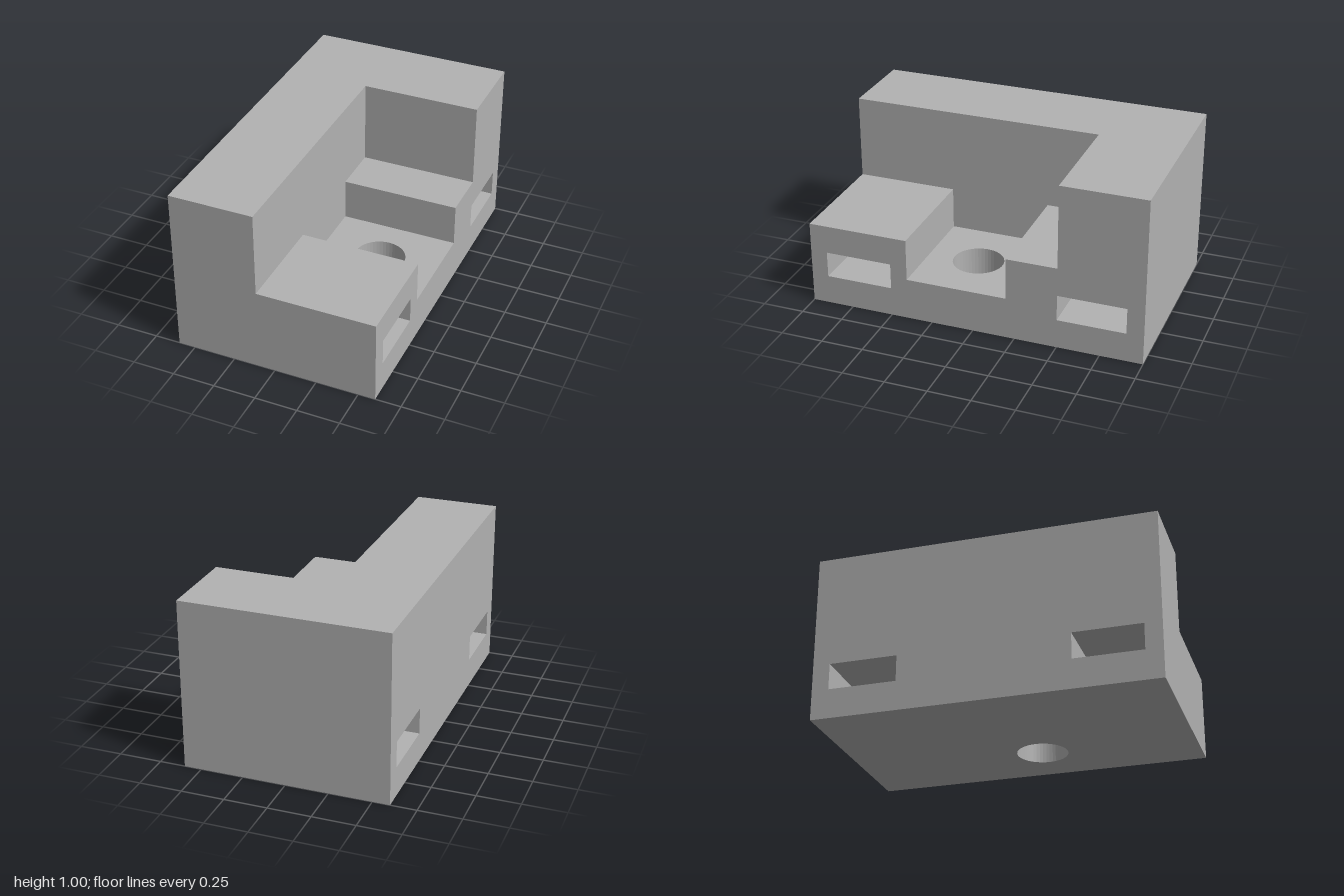
import * as THREE from 'three';

// Closed outline from [z, y] points, drawn so that u = -z
const outline = (pts, Type = THREE.Shape) =>
  new Type(pts.map(([z, y]) => new THREE.Vector2(-z, y)));

// Rectangular slot between z0 and z1
const slot = (z0, z1) =>
  outline([[z0, 0.175], [z0, 0.33], [z1, 0.33], [z1, 0.175]], THREE.Path);

export function createModel() {
  const group = new THREE.Group();
  const grey = new THREE.MeshStandardMaterial({ color: 0xb2b2b2 });
  grey.name = 'machined grey';

  const add = (name, geometry) => {
    const mesh = new THREE.Mesh(geometry, grey);
    mesh.name = name;
    group.add(mesh);
  };

  // Extrudes a [z, y] profile with slots along x from x0 to x1
  const addProfile = (name, pts, slots, x0, x1) => {
    const shape = outline(pts);
    shape.holes.push(...slots);
    const geo = new THREE.ExtrudeGeometry(shape, { depth: x1 - x0, bevelEnabled: false });
    add(name, geo.rotateY(Math.PI / 2).translate(x0, 0, 0));
  };

  const frontSlot = slot(0.5, 0.9);
  const backSlot = slot(-0.9, -0.5);

  // Full-height wall along the -x side
  addProfile('sideWall', [[1, 0], [-1, 0], [-1, 1], [1, 1]], [frontSlot, backSlot], -0.6, -0.1);

  // Low block at the front
  addProfile('frontBlock', [[1, 0], [0.4, 0], [0.4, 0.5], [1, 0.5]], [frontSlot], -0.1, 0.6);

  // Stepped block at the back
  addProfile('backStep',
    [[-0.2, 0], [-1, 0], [-1, 1], [-0.5, 1], [-0.5, 0.5], [-0.2, 0.5]],
    [backSlot], -0.1, 0.6);

  // Channel floor with a round through hole
  const floor = outline([[0.6, -0.4], [0.6, 0.2], [-0.1, 0.2], [-0.1, -0.4]].map(([x, y]) => [-x, y]));
  floor.holes.push(new THREE.Path().absarc(0.25, -0.1, 0.15, 0, Math.PI * 2, true));
  add('channelFloor', new THREE.ExtrudeGeometry(floor, {
    depth: 0.25, bevelEnabled: false, curveSegments: 24,
  }).rotateX(-Math.PI / 2));

  return group;
}
